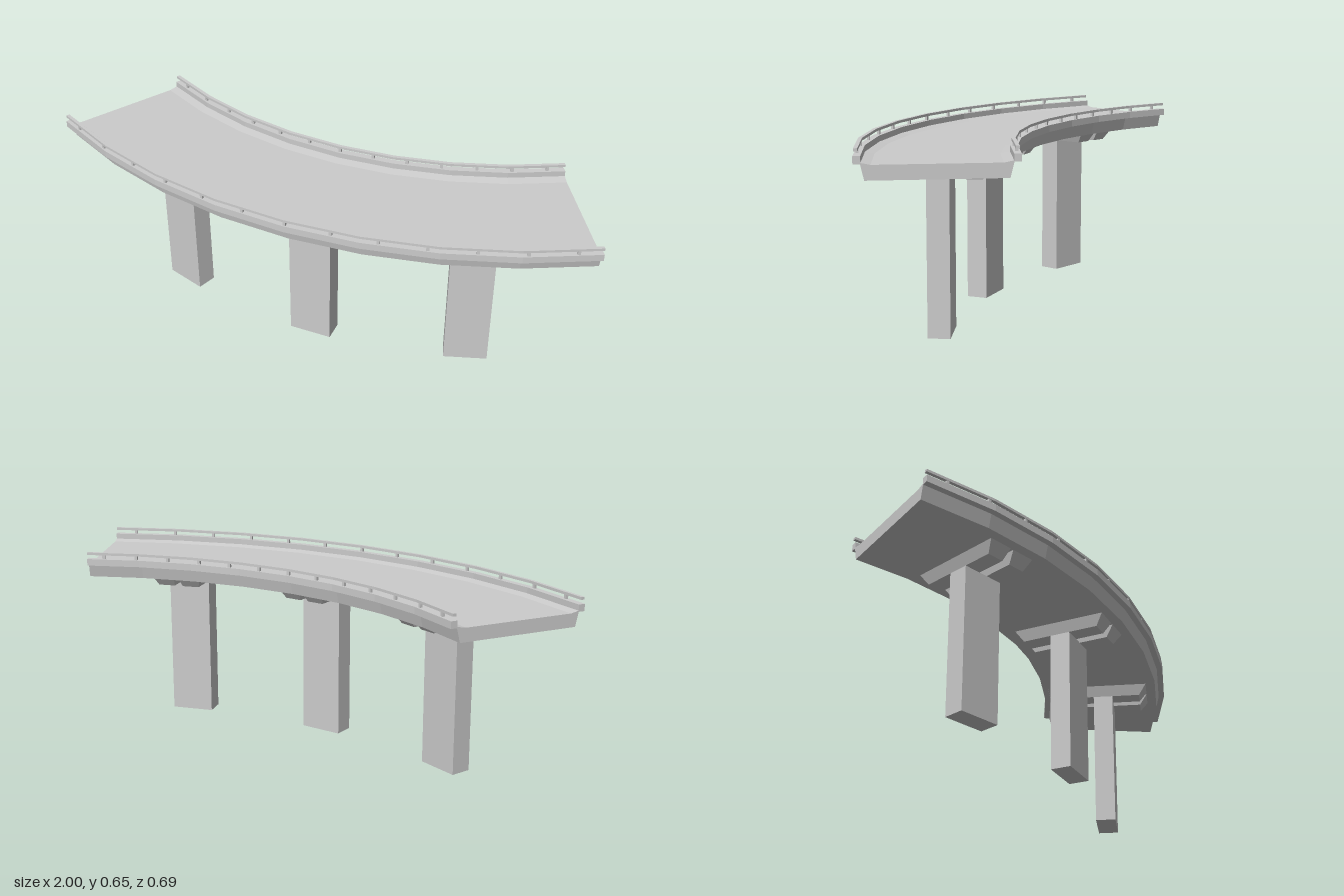
import * as THREE from 'three';

const HALF = Math.PI / 6;      // half of the 60 degree curve
const SEGMENTS = 8;
const STEP = (2 * HALF) / SEGMENTS;
const CENTRE_Z = -1.652;       // centre of the curve, behind the model
const material = new THREE.MeshStandardMaterial({ color: 0xcccccc, flatShading: true });

function mesh(name, geometry) {
  const m = new THREE.Mesh(geometry, material);
  m.name = name;
  return m;
}

// Sweeps a [radius, height] section around the faceted curve
function sweep(name, section) {
  const shape = new THREE.Shape(section.map(([r, y]) => new THREE.Vector2(r, y)));
  const geo = new THREE.ExtrudeGeometry(shape, { depth: 1, steps: SEGMENTS, bevelEnabled: false });
  const p = geo.attributes.position;
  for (let i = 0; i < p.count; i++) {
    const r = p.getX(i), a = HALF - 2 * HALF * p.getZ(i);
    p.setXYZ(i, r * Math.sin(a), p.getY(i), CENTRE_Z + r * Math.cos(a));
  }
  geo.computeVertexNormals();
  return mesh(name, geo);
}

// Group placed on the curve with its local +z pointing outward
function placeOnCurve(name, radius, angle) {
  const g = new THREE.Group();
  g.name = name;
  g.position.set(radius * Math.sin(angle), 0, CENTRE_Z + radius * Math.cos(angle));
  g.rotation.y = angle;
  return g;
}

// Cap beam with sides and ends narrowing towards the bottom
function capBeam(side) {
  const geo = new THREE.BoxGeometry(1, 0.04, 1);
  const p = geo.attributes.position;
  for (let i = 0; i < p.count; i++) {
    const top = p.getY(i) > 0;
    const [inner, outer] = top ? [0.006, 0.094] : [0.016, 0.078];
    const isOuter = p.getX(i) * side > 0;
    p.setX(i, side * (isOuter ? outer : inner));
    p.setZ(i, Math.sign(p.getZ(i)) * (top ? 0.171 : 0.143));
  }
  geo.computeVertexNormals();
  const beam = mesh('capBeam', geo);
  beam.position.y = 0.537;
  return beam;
}

export function createModel() {
  const model = new THREE.Group();
  model.name = 'curvedBridge';

  // Road deck with sloping kerbs and overhanging parapets
  model.add(sweep('deck', [
    [1.541, 0.557], [1.967, 0.557], [1.978, 0.605], [2.0, 0.605], [2.0, 0.629],
    [1.977, 0.629], [1.977, 0.609], [1.948, 0.603], [1.56, 0.603], [1.53, 0.609],
    [1.53, 0.629], [1.507, 0.629], [1.507, 0.605], [1.529, 0.605],
  ]));

  // Handrails on small posts along both parapets
  const rails = [['outerRail', 1.985, 1.997], ['innerRail', 1.513, 1.525]];
  for (const [name, r0, r1] of rails) {
    model.add(sweep(name, [[r0, 0.643], [r1, 0.643], [r1, 0.652], [r0, 0.652]]));
    for (let k = -6; k <= 6; k++) {
      const angle = (k * 2 * HALF) / 13;
      // follow the straight facets of the rail
      const facet = (Math.floor(angle / STEP) + 0.5) * STEP;
      const radius = ((r0 + r1) / 2) * Math.cos(STEP / 2) / Math.cos(angle - facet);
      const holder = placeOnCurve('railPost', radius, angle);
      const post = mesh('post', new THREE.BoxGeometry(0.01, 0.018, 0.009));
      post.position.y = 0.636;
      holder.add(post);
      model.add(holder);
    }
  }

  // Three piers, each carrying a pair of tapered cap beams
  for (const k of [-1, 0, 1]) {
    const pier = placeOnCurve('pier', 1.756, k * THREE.MathUtils.degToRad(18.46));
    const column = mesh('column', new THREE.BoxGeometry(0.156, 0.517, 0.074));
    column.position.y = 0.2585;
    pier.add(column, capBeam(-1), capBeam(1));
    model.add(pier);
  }
  return model;
}
